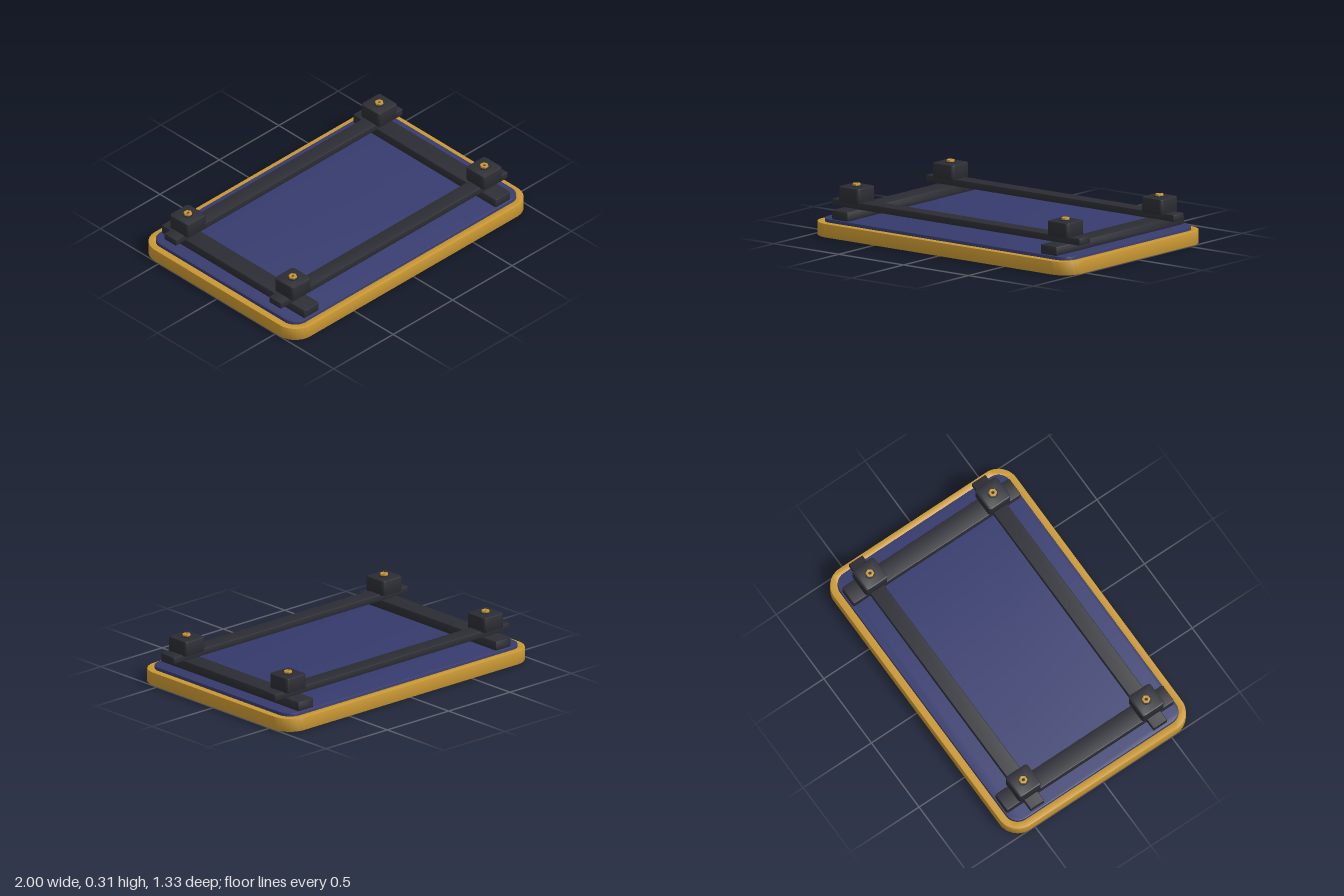
import * as THREE from 'three';
import { toCreasedNormals } from 'three/addons/utils/BufferGeometryUtils.js';

function material(name, color) {
  const m = new THREE.MeshStandardMaterial({ color });
  m.name = name;
  return m;
}

// Rounded rectangle outline centred on the origin
function roundedRect(Type, w, d, r) {
  const x = w / 2, y = d / 2, s = new Type();
  s.absarc(x - r, y - r, r, 0, Math.PI / 2);
  s.absarc(-x + r, y - r, r, Math.PI / 2, Math.PI);
  s.absarc(-x + r, -y + r, r, Math.PI, Math.PI * 1.5);
  s.absarc(x - r, -y + r, r, Math.PI * 1.5, Math.PI * 2);
  s.closePath();
  return s;
}

function hexagon(Type, r) {
  const points = [];
  for (let i = 0; i < 6; i++) {
    const a = (i / 6) * Math.PI * 2;
    points.push(new THREE.Vector2(Math.cos(a) * r, Math.sin(a) * r));
  }
  return new Type(points);
}

// Upright extrusion from y = 0 to y = height with small bevelled edges
function slab(shape, height, bevel) {
  const g = new THREE.ExtrudeGeometry(shape, {
    depth: height - 2 * bevel, curveSegments: 10, bevelEnabled: bevel > 0,
    bevelThickness: bevel, bevelSize: bevel, bevelOffset: -bevel, bevelSegments: 2,
  });
  g.translate(0, 0, bevel);
  g.rotateX(-Math.PI / 2);
  return toCreasedNormals(g, 0.6);
}

export function createModel() {
  const gold = material('gold', 0xca9832);
  const blue = material('navy blue', 0x363b6e);
  const dark = material('charcoal', 0x2c2d34);

  const model = new THREE.Group();
  model.name = 'framedPanel';
  const add = (name, geometry, mat, x, y, z, parent = model) => {
    const mesh = new THREE.Mesh(geometry, mat);
    mesh.name = name;
    mesh.position.set(x, y, z);
    parent.add(mesh);
    return mesh;
  };

  // Border frame
  const border = roundedRect(THREE.Shape, 2, 1.334, 0.13);
  border.holes.push(roundedRect(THREE.Path, 1.91, 1.244, 0.085));
  add('borderFrame', slab(border, 0.084, 0.003), gold, 0, 0, 0);

  // Panel, set back from the underside, with fine seams below
  add('panel', slab(roundedRect(THREE.Shape, 1.91, 1.244, 0.085), 0.084, 0.004), blue, 0, 0.02, 0);
  add('lengthSeam', new THREE.BoxGeometry(1.9, 0.002, 0.004), blue, 0, 0.0195, 0);
  add('crossSeam', new THREE.BoxGeometry(0.004, 0.002, 1.23), blue, 0, 0.0195, 0);

  const sideRail = slab(roundedRect(THREE.Shape, 0.126, 1.226, 0.012), 0.058, 0.006);
  const crossBar = slab(roundedRect(THREE.Shape, 1.91, 0.1, 0.005), 0.042, 0.004);
  const clampBlock = slab(roundedRect(THREE.Shape, 0.16, 0.16, 0.02), 0.095, 0.006);
  const washer = new THREE.CylinderGeometry(0.032, 0.032, 0.006, 24);
  const headShape = hexagon(THREE.Shape, 0.026);
  headShape.holes.push(hexagon(THREE.Path, 0.011));
  const boltHead = slab(headShape, 0.014, 0.002);
  const socket = new THREE.CylinderGeometry(0.012, 0.012, 0.004, 6);

  for (const s of [1, -1]) {
    // Rails on the panel and bars laid across them
    add(s > 0 ? 'leftRail' : 'rightRail', sideRail, dark, s * 0.805, 0.103, 0);
    add(s > 0 ? 'frontBar' : 'backBar', crossBar, dark, 0, 0.16, s * 0.45);

    // Clamp with bolt at each crossing
    for (const t of [1, -1]) {
      const clamp = new THREE.Group();
      clamp.name = (t > 0 ? 'front' : 'back') + (s > 0 ? 'Left' : 'Right') + 'Clamp';
      clamp.position.set(s * 0.805, 0.196, t * 0.45);
      model.add(clamp);
      add('clampBlock', clampBlock, dark, 0, 0, 0, clamp);
      add('washer', washer, dark, 0, 0.097, 0, clamp);
      add('boltHead', boltHead, gold, 0, 0.098, 0, clamp);
      add('boltSocket', socket, dark, 0, 0.101, 0, clamp);
    }
  }
  return model;
}
